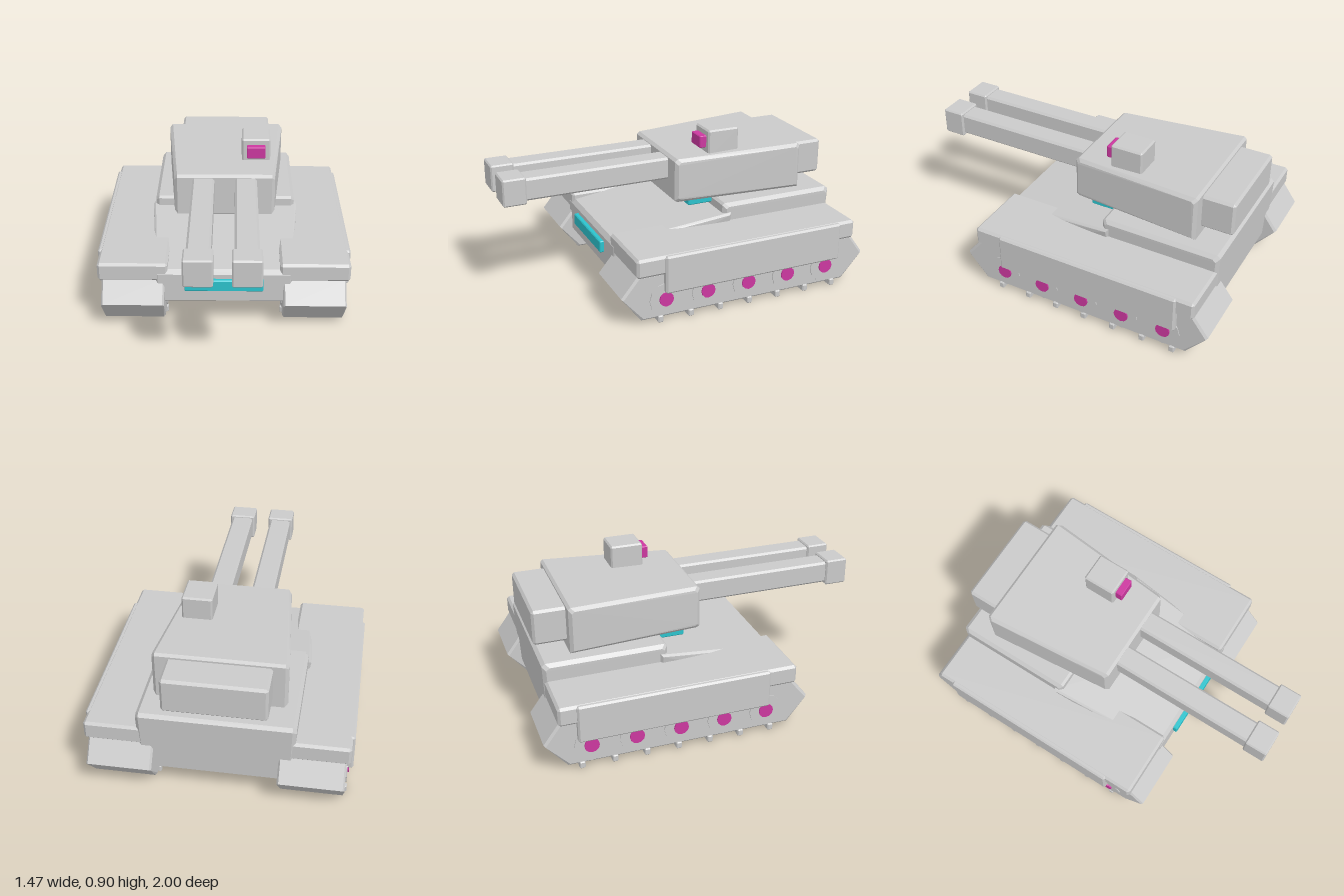
import * as THREE from 'three';
import { ConvexGeometry } from 'three/addons/geometries/ConvexGeometry.js';

const V = (x, y, z) => new THREE.Vector3(x, y, z);

// Box between two corners with every edge chamfered by c
function chamferBox(x0, x1, y0, y1, z0, z1, c = 0.01) {
  const pts = [];
  for (const sx of [0, 1]) for (const sy of [0, 1]) for (const sz of [0, 1]) {
    const x = sx ? x1 : x0, y = sy ? y1 : y0, z = sz ? z1 : z0;
    const dx = sx ? -c : c, dy = sy ? -c : c, dz = sz ? -c : c;
    pts.push(V(x, y + dy, z + dz), V(x + dx, y, z + dz), V(x + dx, y + dy, z));
  }
  return new ConvexGeometry(pts);
}

// Convex side profile of [z, y, halfWidth], spread across x with chamfered side edges
function slab(profile, cx = 0, c = 0.012) {
  const mid = (i) => (Math.min(...profile.map((p) => p[i])) + Math.max(...profile.map((p) => p[i]))) / 2;
  const mz = mid(0), my = mid(1), pts = [];
  for (const [z, y, w] of profile) for (const s of [-1, 1]) {
    pts.push(V(cx + s * (w - c), y, z));
    pts.push(V(cx + s * w, y - Math.sign(y - my) * c, z - Math.sign(z - mz) * c));
  }
  return new ConvexGeometry(pts);
}

export function createModel() {
  const model = new THREE.Group();
  model.name = 'tank';
  const mat = (name, color) => {
    const m = new THREE.MeshStandardMaterial({ color });
    m.name = name;
    return m;
  };
  const armour = mat('armourGrey', 0xcacaca);
  const magenta = mat('magenta', 0xcc38a0);
  const cyan = mat('cyan', 0x2cc3cd);
  const add = (name, geometry, material = armour, parent = model) => {
    const mesh = new THREE.Mesh(geometry, material);
    mesh.name = name;
    parent.add(mesh);
    return mesh;
  };

  // Hull: sloped bow and raised rear deck
  add('bow', slab([
    [0.44, 0.165, 0.385], [0.44, 0.335, 0.39], [0.42, 0.362, 0.39],
    [-0.265, 0.45, 0.447], [-0.265, 0.15, 0.4], [0.42, 0.15, 0.385],
  ]));
  add('rearDeck', slab([
    [-0.22, 0.14, 0.42], [-0.22, 0.49, 0.43], [-0.235, 0.502, 0.43],
    [-0.91, 0.502, 0.43], [-0.93, 0.485, 0.43], [-0.915, 0.14, 0.42],
  ], 0, 0.02));
  add('bowLight', chamferBox(-0.225, 0.225, 0.24, 0.31, 0.43, 0.465, 0.005), cyan);

  // Running gear, mirrored on both sides
  for (const s of [-1, 1]) {
    const side = new THREE.Group();
    side.name = s > 0 ? 'leftRunningGear' : 'rightRunningGear';
    model.add(side);
    const span = (a, b) => (s > 0 ? [a, b] : [-b, -a]);

    add('fender', chamferBox(...span(0.32, 0.722), 0.29, 0.4, -0.92, 0.438, 0.014), armour, side);
    add('sideSkirt', chamferBox(...span(0.69, 0.735), 0.178, 0.398, -0.82, 0.275, 0.01), armour, side);

    const w = 0.18;
    add('track', slab([
      [0.52, 0.18, w], [0.425, 0.295, w], [-0.915, 0.295, w],
      [-1.0, 0.18, w], [-0.875, 0.028, w], [0.405, 0.028, w],
    ], s * 0.52, 0.01), armour, side);

    for (let i = 0; i < 7; i++) {
      const z = 0.295 - i * 0.1825;
      add('trackCleat', chamferBox(...span(0.33, 0.71), 0, 0.04, z - 0.016, z + 0.016, 0.005), armour, side);
    }

    // Road wheels show on both faces of the track
    for (let i = 0; i < 5; i++) {
      const z = 0.263 - i * 0.252;
      const wheel = add('roadWheel', new THREE.CylinderGeometry(0.097, 0.097, 0.372, 12).toNonIndexed(), armour, side);
      const hub = add('wheelHub', new THREE.CylinderGeometry(0.042, 0.042, 0.388, 12).toNonIndexed(), magenta, side);
      for (const m of [wheel, hub]) {
        m.geometry.computeVertexNormals();
        m.rotation.z = Math.PI / 2;
        m.position.set(s * 0.52, 0.137, z);
      }
    }
  }

  // Turret
  const turret = new THREE.Group();
  turret.name = 'turret';
  model.add(turret);
  add('turretRing', chamferBox(-0.27, 0.27, 0.46, 0.515, -0.6, -0.07, 0.006), cyan, turret);
  add('turretBody', slab([
    [0.022, 0.51, 0.298], [0.022, 0.745, 0.298], [0.005, 0.76, 0.298],
    [-0.74, 0.778, 0.365], [-0.755, 0.765, 0.365], [-0.755, 0.505, 0.365], [0.005, 0.5, 0.298],
  ], 0, 0.018), armour, turret);
  add('turretBustle', chamferBox(-0.283, 0.283, 0.55, 0.755, -0.942, -0.72, 0.014), armour, turret);

  // Twin guns
  for (const x of [-0.125, 0.125]) {
    add('gunBarrel', chamferBox(x - 0.065, x + 0.065, 0.612, 0.742, -0.02, 0.88, 0.012), armour, turret);
    add('muzzle', chamferBox(x - 0.078, x + 0.078, 0.598, 0.754, 0.866, 1.0, 0.008), armour, turret);
  }

  // Roof sight
  add('sightHousing', chamferBox(0.102, 0.274, 0.74, 0.9, -0.385, -0.193, 0.009), armour, turret);
  add('sightLens', chamferBox(0.132, 0.243, 0.793, 0.864, -0.21, -0.152, 0.004), magenta, turret);

  return model;
}
